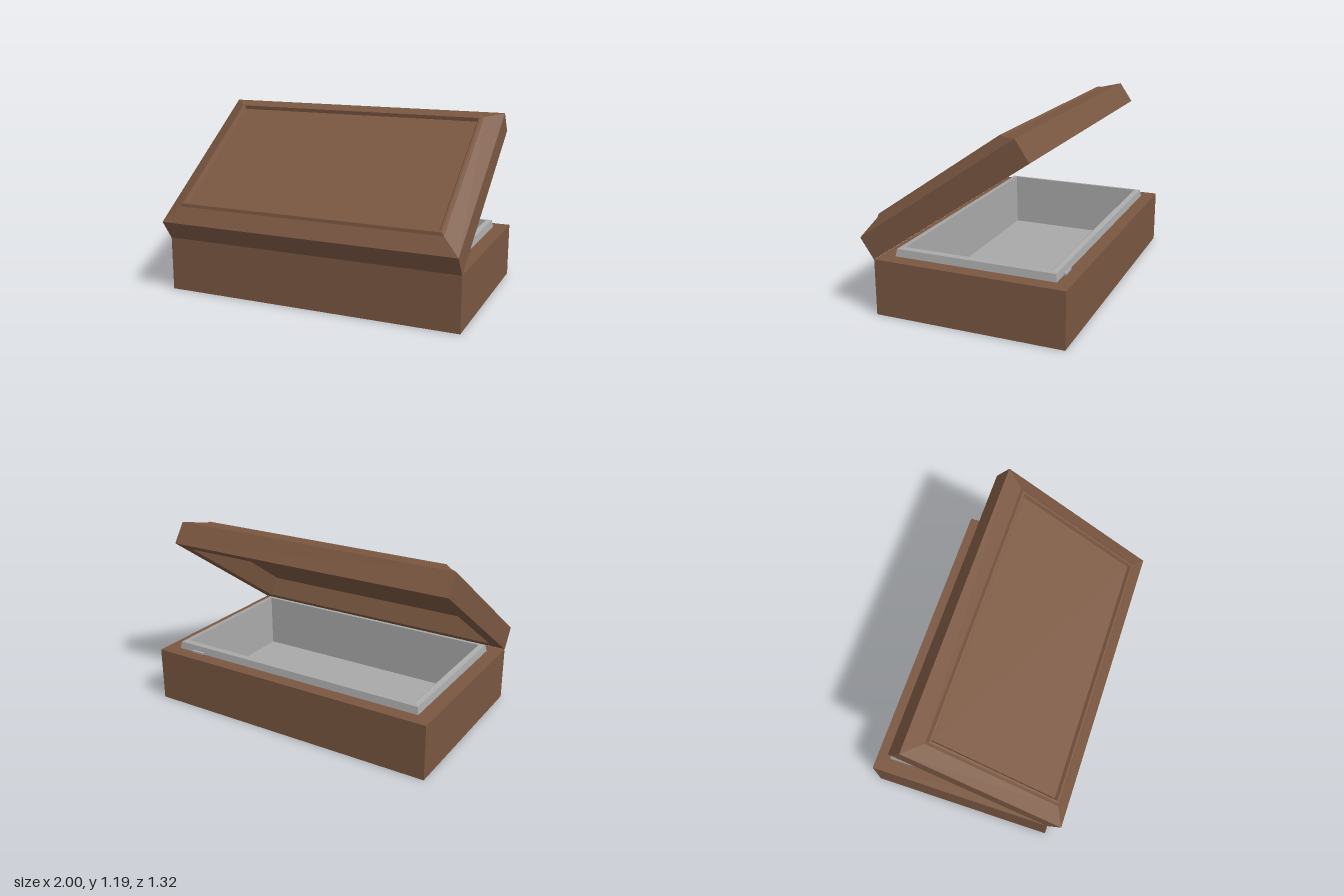
import * as THREE from 'three';

// Lofts rectangular rings [inset, y]; both ends are closed, the first facing down, the last up.
function rectLoft(hx, hz, rings) {
  const pos = [];
  const loops = rings.map(([inset, y]) => {
    const x = hx - inset, z = hz - inset;
    return [[x, y, z], [x, y, -z], [-x, y, -z], [-x, y, z]];
  });
  const quad = (a, b, c, d) => pos.push(...a, ...b, ...c, ...a, ...c, ...d);
  for (let i = 0; i < loops.length - 1; i++) {
    for (let j = 0; j < 4; j++) {
      const k = (j + 1) % 4;
      quad(loops[i][j], loops[i][k], loops[i + 1][k], loops[i + 1][j]);
    }
  }
  const [a, b, c, d] = loops[0];
  quad(d, c, b, a);
  quad(...loops[loops.length - 1]);
  const geo = new THREE.BufferGeometry();
  geo.setAttribute('position', new THREE.Float32BufferAttribute(pos, 3));
  geo.computeVertexNormals();
  return geo;
}

export function createModel() {
  const wood = new THREE.MeshStandardMaterial({ color: 0x7a5741 });
  wood.name = 'brown wood';
  const metal = new THREE.MeshStandardMaterial({ color: 0xa8a8a8 });
  metal.name = 'grey lining';

  const model = new THREE.Group();
  model.name = 'openBox';
  const add = (name, geo, mat, parent, x, y, z) => {
    const mesh = new THREE.Mesh(geo, mat);
    mesh.name = name;
    mesh.position.set(x, y, z);
    parent.add(mesh);
    return mesh;
  };
  const midZ = -0.045;

  // Wooden base with a pocket for the lining
  add('base', rectLoft(1, 0.615, [
    [0, 0], [0, 0.36], [0.1, 0.36], [0.1, 0.03],
  ]), wood, model, 0, 0, midZ);

  // Grey tray with a raised, chamfered rim
  add('liner', rectLoft(0.905, 0.525, [
    [0, 0.032], [0, 0.36], [0.009, 0.407], [0.04, 0.414], [0.045, 0.412], [0.058, 0.05],
  ]), metal, model, 0, 0, midZ);

  // Small tab behind the rim
  add('rimTab', new THREE.BoxGeometry(0.09, 0.012, 0.02), metal, model, 0.745, 0.367, -0.573);

  // Hinged lid: hollow underside, bevelled border and recessed panel
  const hinge = new THREE.Group();
  hinge.name = 'lidHinge';
  hinge.position.set(0, 0.36, 0.572);
  hinge.rotation.x = 0.604;
  model.add(hinge);
  add('lid', rectLoft(1, 0.616, [
    [0.12, 0.133], [0.088, 0], [0, 0], [0, 0.156], [0.106, 0.206],
    [0.12, 0.222], [0.134, 0.222], [0.145, 0.2],
  ]), wood, hinge, 0, 0, -0.616);

  return model;
}
